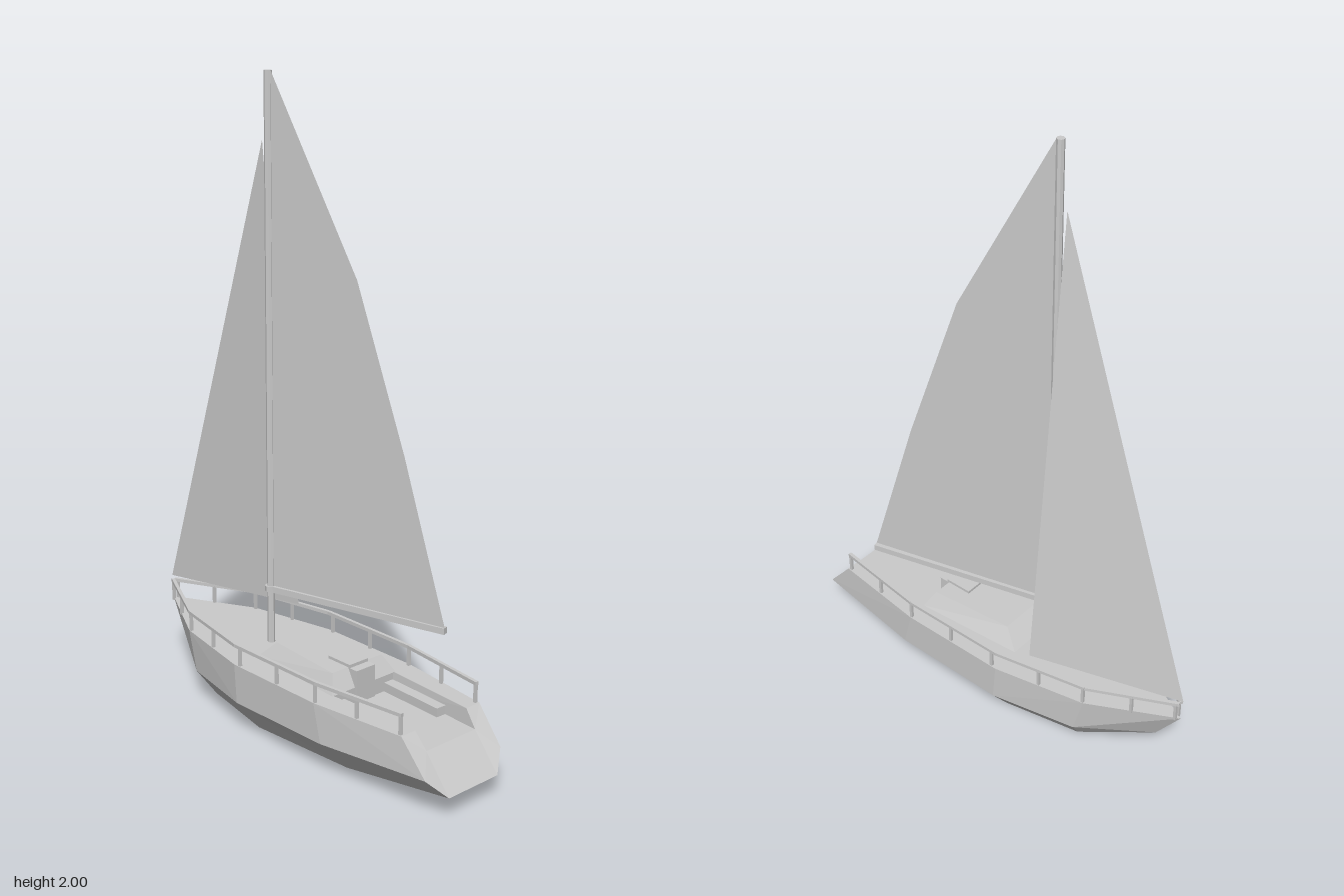
import * as THREE from 'three';

const material = new THREE.MeshStandardMaterial({ color: 0xcccccc, flatShading: true });
const thinMaterial = new THREE.MeshStandardMaterial({ color: 0xcccccc, flatShading: true, side: THREE.DoubleSide });
const DECK = 0.23, FLOOR = 0.18, RAIL = 0.291;

function add(parent, name, geometry, mat = material) {
  const mesh = new THREE.Mesh(geometry, mat);
  mesh.name = name;
  parent.add(mesh);
  return mesh;
}

function fromTriangles(points) {
  const geometry = new THREE.BufferGeometry();
  geometry.setAttribute('position', new THREE.Float32BufferAttribute(points.flat(), 3));
  geometry.computeVertexNormals();
  return geometry;
}

function box(parent, name, x0, x1, y0, y1, z0, z1) {
  const mesh = add(parent, name, new THREE.BoxGeometry(x1 - x0, y1 - y0, z1 - z0));
  mesh.position.set((x0 + x1) / 2, (y0 + y1) / 2, (z0 + z1) / 2);
  return mesh;
}

// Square bar running between two points
function bar(parent, name, a, b, width) {
  const from = new THREE.Vector3(...a), to = new THREE.Vector3(...b);
  const mesh = add(parent, name, new THREE.BoxGeometry(width, width, from.distanceTo(to)));
  mesh.position.copy(from).add(to).multiplyScalar(0.5);
  mesh.lookAt(to);
  return mesh;
}

// Half sections from stern to bow: keel, bilge, chine, sheer, coaming, well corner, middle
function hullGeometry() {
  const stations = [
    [[0, .07, .69], [.10, .07, .69], [.155, .125, .65], [.16, DECK, .56], [.105, DECK, .56], [.1, FLOOR, .6], [0, FLOOR, .6]],
    [[0, .02, .3], [.12, .018, .3], [.2, .11, .27], [.2, DECK, .24], [.125, DECK, .24], [.12, FLOOR, .24], [0, FLOOR, .24]],
    [[0, .02, .3], [.12, .018, .3], [.2, .11, .27], [.2, DECK, .24], [.125, DECK, .24], [.12, DECK, .24], [0, DECK, .24]],
    [[0, .025, -.1], [.12, 0, -.1], [.2, .105, -.11], [.2, DECK, -.12], [.1, DECK, -.12], [.05, DECK, -.12], [0, DECK, -.12]],
    [[0, .025, -.36], [.08, .012, -.36], [.14, .1, -.385], [.14, DECK, -.42], [.07, DECK, -.42], [.04, DECK, -.42], [0, DECK, -.42]],
    [[0, .025, -.47], [0, .025, -.47], [0, .11, -.6], [0, DECK, -.685], [0, DECK, -.685], [0, DECK, -.685], [0, DECK, -.685]],
  ];
  const points = [];
  const mirror = ([x, y, z]) => [-x, y, z];
  const triangle = (a, b, c) => points.push(a, b, c, mirror(a), mirror(c), mirror(b));
  for (let i = 0; i < stations.length - 1; i++) {
    const s = stations[i], t = stations[i + 1];
    for (let j = 0; j < s.length - 1; j++) {
      triangle(s[j], t[j], t[j + 1]);
      triangle(s[j], t[j + 1], s[j + 1]);
    }
  }
  // Notched transom, fanned from the corner of the well
  const [keel, bilge, chine, sheer, coaming, corner, middle] = stations[0];
  const edge = [middle, keel, bilge, chine, sheer, coaming];
  for (let i = 0; i < edge.length - 1; i++) triangle(corner, edge[i], edge[i + 1]);
  return fromTriangles(points);
}

// Cabin: a box pulled into a tapered trunk
function cabinGeometry() {
  const geometry = new THREE.BoxGeometry(2, 2, 2);
  const p = geometry.attributes.position;
  for (let i = 0; i < p.count; i++) {
    const top = p.getY(i) > 0, aft = p.getZ(i) > 0;
    const x = top ? (aft ? .1 : .075) : (aft ? .13 : .105);
    const z = top ? (aft ? .215 : -.065) : (aft ? .245 : -.12);
    p.setXYZ(i, Math.sign(p.getX(i)) * x, top ? .285 : DECK, z);
  }
  geometry.computeVertexNormals();
  return geometry;
}

// Distance of the rail from the centre line at a given z
function railX(z) {
  const line = [[-.68, .004], [-.42, .134], [-.12, .193], [.24, .193], [.56, .152]];
  for (let i = 0; i < line.length - 1; i++) {
    const [z0, x0] = line[i], [z1, x1] = line[i + 1];
    if (z <= z1) return x0 + (x1 - x0) * (z - z0) / (z1 - z0);
  }
  return line[line.length - 1][1];
}

export function createModel() {
  const boat = new THREE.Group();
  boat.name = 'sailboat';
  add(boat, 'hull', hullGeometry(), thinMaterial);

  // Cabin with sliding hatch and companionway door
  const cabin = new THREE.Group();
  cabin.name = 'cabin';
  boat.add(cabin);
  add(cabin, 'cabinTrunk', cabinGeometry());
  box(cabin, 'cabinBulkhead', -.12, .12, FLOOR, DECK, .2, .246);
  box(cabin, 'hatch', -.038, .038, .27, .294, .13, .222);
  box(cabin, 'door', -.038, .038, FLOOR, .284, .2, .252);

  // Cockpit benches and guard rails on both sides
  for (const side of [1, -1]) {
    const label = side > 0 ? 'left' : 'right';
    const bench = box(boat, label + 'Bench', -.018, .018, FLOOR, .208, .245, .475);
    bench.position.x = side * .096;
    bench.rotation.y = -side * .04;

    const rail = new THREE.Group();
    rail.name = label + 'Rail';
    boat.add(rail);
    const knots = [-.68, -.42, -.12, .24, .555];
    for (let i = 0; i < knots.length - 1; i++) {
      bar(rail, 'handrail', [side * railX(knots[i]), RAIL, knots[i]], [side * railX(knots[i + 1]), RAIL, knots[i + 1]], .011);
    }
    for (const z of [-.67, -.55, -.415, -.265, -.1, .07, .24, .395, .55]) {
      const x = side * railX(z);
      bar(rail, 'railPost', [x, DECK - .005, z], [x, RAIL, z], .009);
    }
  }

  // Mast, gooseneck and boom
  const mast = add(boat, 'mast', new THREE.CylinderGeometry(.012, .012, 2 - DECK, 8));
  mast.position.set(0, (2 + DECK) / 2, -.178);
  const collar = add(boat, 'gooseneck', new THREE.CylinderGeometry(.018, .018, .018, 8));
  collar.position.set(0, .41, -.18);
  bar(boat, 'boom', [.003, .41, -.165], [.16, .41, .42], .02);

  // Mainsail swings with the boom, so its sideways offset follows z
  const main = [[.42, -.168], [.42, .42], [.92, .28], [1.42, .12], [2, -.168]].map(([y, z]) => [(z + .175) * .262, y, z]);
  const sail = [];
  for (let i = 1; i < main.length - 1; i++) sail.push(main[0], main[i], main[i + 1]);
  add(boat, 'mainsail', fromTriangles(sail), thinMaterial);
  add(boat, 'jib', fromTriangles([[0, 1.8, -.205], [0, .305, -.69], [.145, .305, -.212]]), thinMaterial);
  return boat;
}
